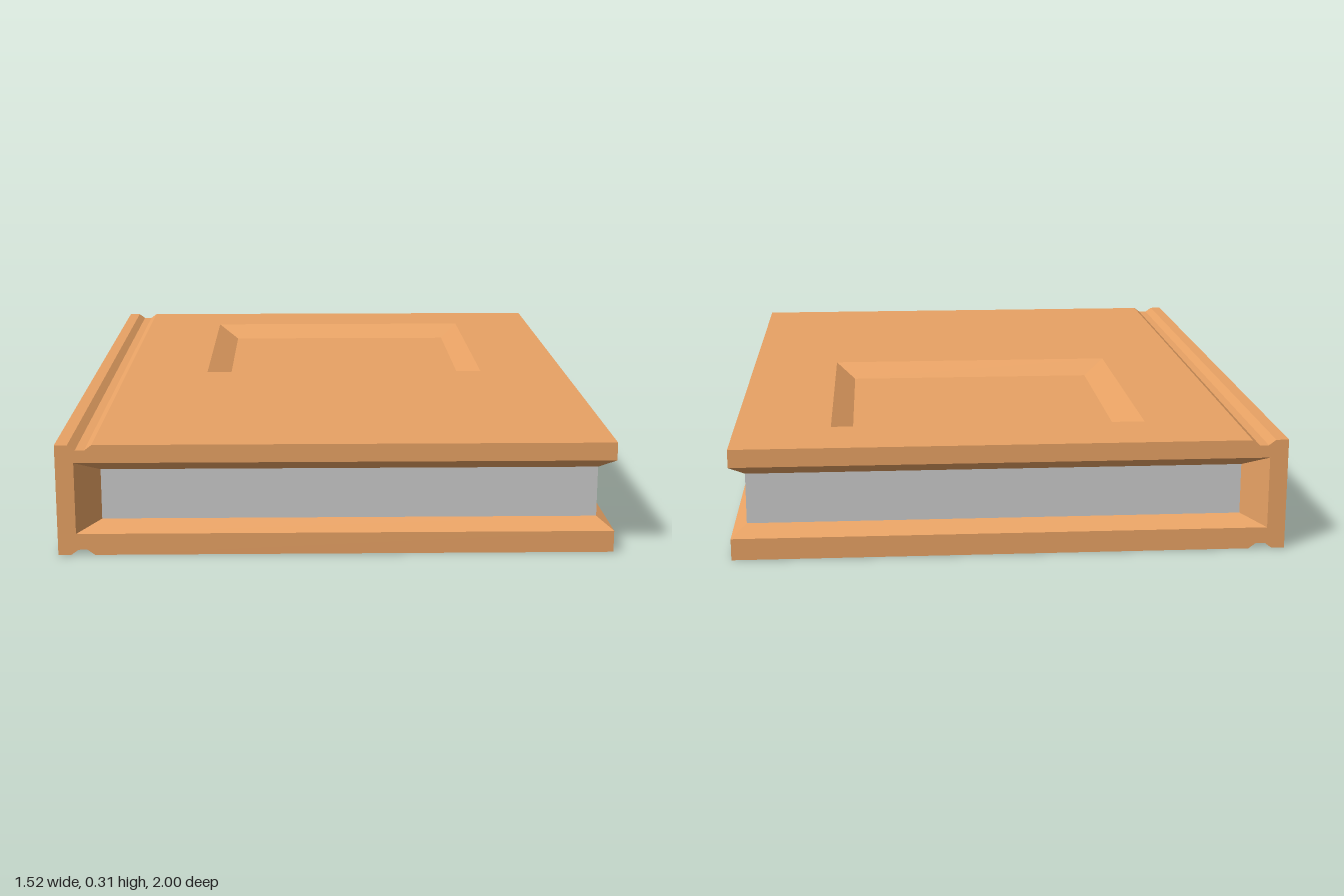
import * as THREE from 'three';

const coverMat = new THREE.MeshStandardMaterial({ color: 0xe8a264 });
const pageMat = new THREE.MeshStandardMaterial({ color: 0xcccccc });

function add(group, name, geometry, material = coverMat) {
  const mesh = new THREE.Mesh(geometry, material);
  mesh.name = name;
  group.add(mesh);
  return mesh;
}

// Flat quads joining two point rows a and b of equal length
function strip(a, b) {
  const pos = [];
  for (let i = 0; i < a.length - 1; i++) {
    for (const p of [a[i], a[i + 1], b[i + 1], a[i], b[i + 1], b[i]]) pos.push(...p);
  }
  const g = new THREE.BufferGeometry();
  g.setAttribute('position', new THREE.Float32BufferAttribute(pos, 3));
  g.computeVertexNormals();
  return g;
}

// Rectangle corners at height y, counter-clockwise seen from above
const rect = (x0, x1, z0, z1, y) => [[x0, y, z1], [x1, y, z1], [x1, y, z0], [x0, y, z0]];

export function createModel() {
  const book = new THREE.Group();
  book.name = 'book';
  const H = 0.31, W = 0.76, hingeX = -0.66;

  // Spine and bottom board, with a hinge groove above and below
  const groove = [[hingeX, 0], [-0.68, 0.015], [-0.705, 0.015], [-0.725, 0]];
  const profile = [
    [W, 0], ...groove, [-W, 0], [-W, H],
    ...groove.map(([x, y]) => [x, H - y]).reverse(),
    [hingeX, 0.26], [-0.71, 0.26], [-0.71, 0.06], [W, 0.06],
  ].map(([x, y]) => new THREE.Vector2(x, y));
  add(book, 'spineAndBottomBoard',
    new THREE.ExtrudeGeometry(new THREE.Shape(profile), { depth: 2, bevelEnabled: false }).translate(0, 0, -1));

  // Top board with an opening for the sunken panel
  const flat = (pts) => pts.map(([x, , z]) => new THREE.Vector2(x, -z));
  const rim = rect(-0.4, 0.49, -0.775, 0.075, H);
  const floor = rect(-0.33, 0.43, -0.7, 0, H - 0.04);
  const board = new THREE.Shape(flat(rect(hingeX, W, -1, 1, 0)));
  board.holes.push(new THREE.Path(flat(rim).reverse()));
  add(book, 'topBoard',
    new THREE.ExtrudeGeometry(board, { depth: 0.05, bevelEnabled: false }).rotateX(-Math.PI / 2).translate(0, 0.26, 0));

  // Sunken panel: sloping sides and floor
  add(book, 'panelSides', strip([...rim, rim[0]], [...floor, floor[0]]));
  add(book, 'panelFloor', strip([floor[0], floor[1]], [floor[3], floor[2]]));

  // Sloping inner lips running from the board edges in to the pages
  const lowOut = rect(-0.71, W, -1, 1, 0.06), lowIn = rect(-0.645, 0.72, -0.94, 0.94, 0.085);
  const highOut = rect(-0.71, W, -1, 1, 0.26), highIn = rect(-0.645, 0.72, -0.94, 0.94, 0.226);
  add(book, 'lowerLip', strip(lowOut, lowIn));
  add(book, 'upperLip', strip([...highOut].reverse(), [...highIn].reverse()));
  add(book, 'frontSpineLip', strip([lowOut[0], lowIn[0]], [highOut[0], highIn[0]]));
  add(book, 'backSpineLip', strip([lowIn[3], lowOut[3]], [highIn[3], highOut[3]]));

  // Page block
  add(book, 'pages', new THREE.BoxGeometry(1.365, 0.141, 1.88), pageMat).position.set(0.0375, 0.1555, 0);

  return book;
}
